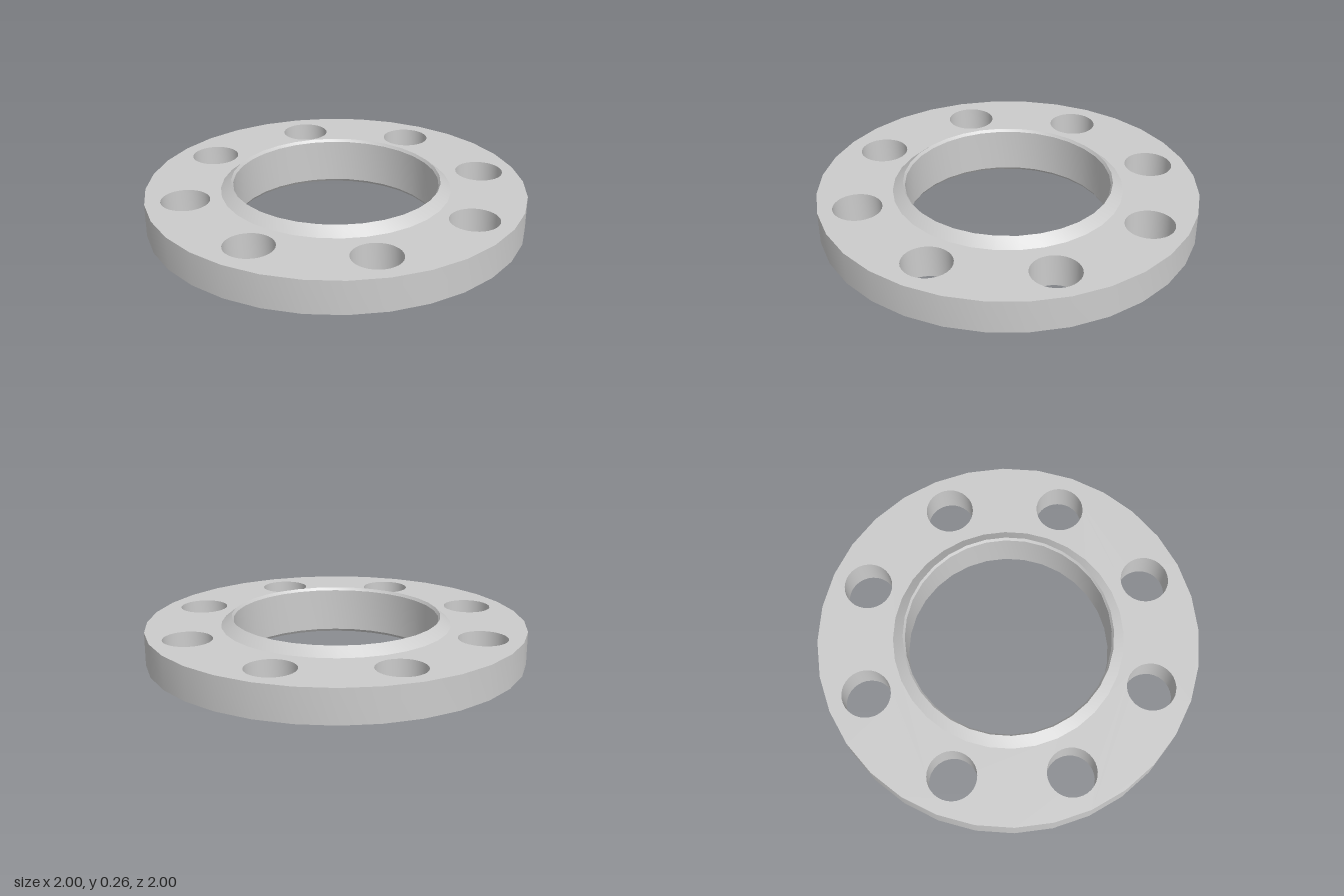
import * as THREE from 'three';
import { toCreasedNormals } from 'three/addons/utils/BufferGeometryUtils.js';

const SEGMENTS = 32;
const PLATE_BOTTOM = 0.045, PLATE_TOP = 0.22, HEIGHT = 0.265;
const HUB_RADIUS = 0.605, RIM_RADIUS = 0.55, BORE_RADIUS = 0.54;
const BOLT_RADIUS = 0.127;

function addCircle(path, x, z, r, clockwise) {
  path.absarc(x, -z, r, 0, Math.PI * 2, clockwise);
  return path;
}

export function createModel() {
  const group = new THREE.Group();
  group.name = 'flange';
  const material = new THREE.MeshStandardMaterial({ color: 0xcccccc });

  const addPart = (name, geometry) => {
    const mesh = new THREE.Mesh(toCreasedNormals(geometry, 0.5), material);
    mesh.name = name;
    group.add(mesh);
  };

  // Flat plate with a central opening and eight slightly uneven bolt holes (x, z)
  const boltCentres = [
    [0, -0.8], [0.573, -0.562], [0.795, 0], [0.56, 0.567],
    [0, 0.788], [-0.565, 0.555], [-0.795, 0], [-0.555, -0.57],
  ];
  const outline = addCircle(new THREE.Shape(), 0, 0, 1, false);
  outline.holes.push(addCircle(new THREE.Path(), 0, 0, HUB_RADIUS, true));
  for (const [x, z] of boltCentres) {
    outline.holes.push(addCircle(new THREE.Path(), x, z, BOLT_RADIUS, true));
  }
  const plate = new THREE.ExtrudeGeometry(outline, {
    depth: PLATE_TOP - PLATE_BOTTOM, bevelEnabled: false, curveSegments: SEGMENTS / 2,
  });
  plate.rotateX(-Math.PI / 2).translate(0, PLATE_BOTTOM, 0);
  addPart('boltPlate', plate);

  // Hub: sloped collars above and below, joined by the chamfered bore
  const profile = [
    [HUB_RADIUS, PLATE_TOP], [RIM_RADIUS, HEIGHT], [BORE_RADIUS, HEIGHT - 0.015],
    [BORE_RADIUS, 0.015], [RIM_RADIUS, 0], [HUB_RADIUS, PLATE_BOTTOM],
  ].map(([r, y]) => new THREE.Vector2(r, y));
  addPart('hubAndBore', new THREE.LatheGeometry(profile, SEGMENTS));

  return group;
}
